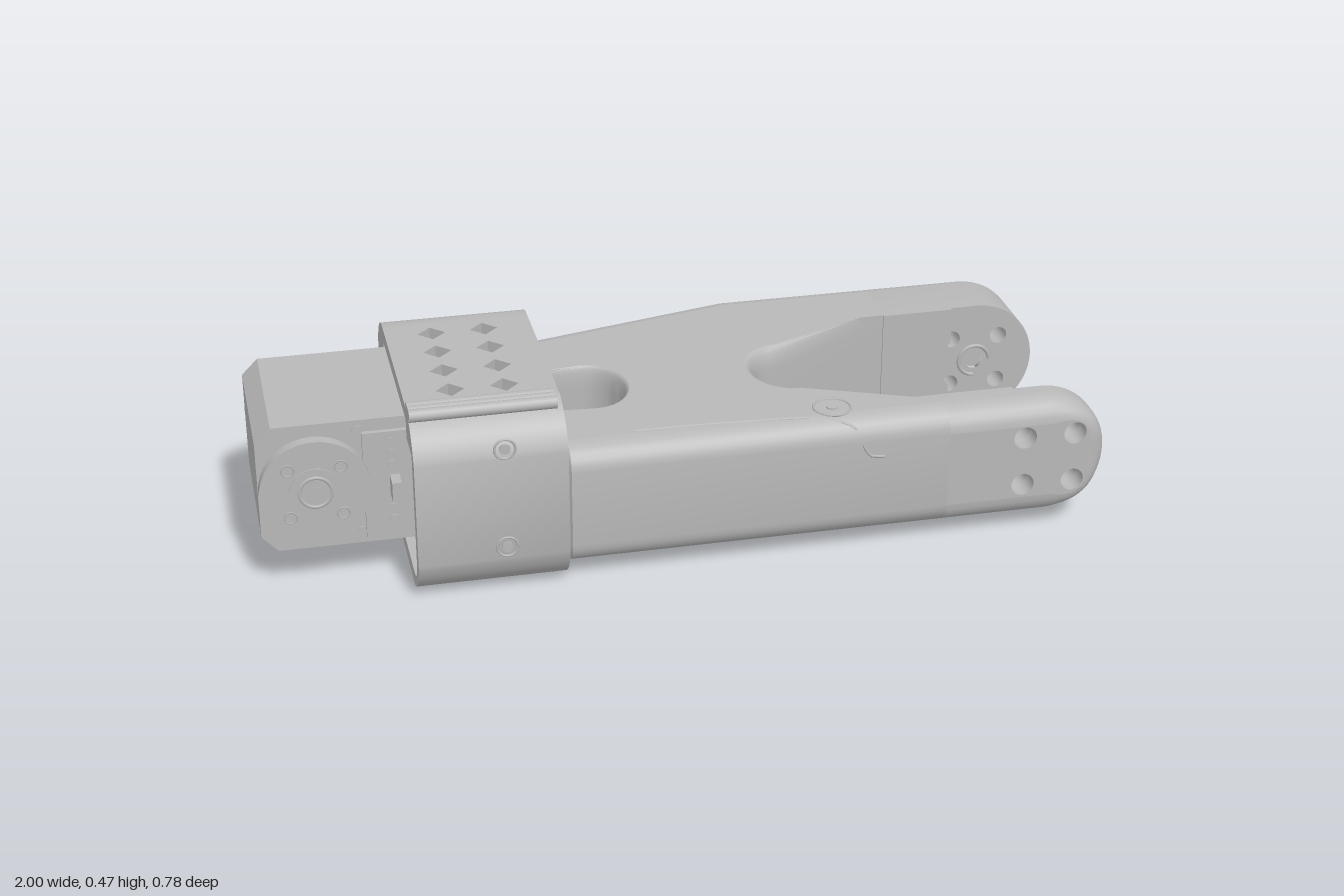
import * as THREE from 'three';
import { toCreasedNormals } from 'three/addons/utils/BufferGeometryUtils.js';

const grey = new THREE.MeshStandardMaterial({ color: 0xb8b8b8, side: THREE.DoubleSide });
grey.name = 'grey plastic';
const V2 = (x, y) => new THREE.Vector2(x, y);

function add(parent, name, geometry, x = 0, y = 0, z = 0) {
  const mesh = new THREE.Mesh(geometry, grey);
  mesh.name = name;
  mesh.position.set(x, y, z);
  parent.add(mesh);
  return mesh;
}

function group(parent, name) {
  const g = new THREE.Group();
  g.name = name;
  parent.add(g);
  return g;
}

// Skin between closed loops of [x, y, z] points
function loft(rows) {
  const n = rows[0].length, index = [];
  for (let r = 0; r < rows.length - 1; r++) {
    for (let i = 0; i < n; i++) {
      const a = r * n + i, b = r * n + (i + 1) % n;
      index.push(a, b, b + n, a, b + n, a + n);
    }
  }
  const g = new THREE.BufferGeometry();
  g.setAttribute('position', new THREE.Float32BufferAttribute(rows.flat(2), 3));
  g.setIndex(index);
  return toCreasedNormals(g, 0.6);
}

// Flat face with round holes [x, y, radius]
function face(points, holes = []) {
  const shape = new THREE.Shape(points);
  for (const [x, y, r] of holes) shape.holes.push(new THREE.Path().absarc(x, y, r, 0, Math.PI * 2));
  return new THREE.ShapeGeometry(shape, 12);
}

function cylinderZ(r, length, rTop = r) {
  return new THREE.CylinderGeometry(rTop, r, length, 40).rotateX(Math.PI / 2);
}

const MID = 0.193, HALF = 0.152, ROUND = 0.058, TIP = 0.848;
const STEPS = [0, 1, 2, 3, 4, 5, 6].map(i => i / 6 * Math.PI / 2);

// Middle of the fork: plan outline [x, z, edge rounding in x, in z], rounded over top and bottom
function buildBody(parent) {
  const g = group(parent, 'forkBody');
  const arc = (cx, cz, rx, rz, from, to, w) => Array.from({ length: 17 }, (_, i) => {
    const a = from + (to - from) * i / 16;
    return [cx + rx * Math.cos(a), cz + rz * Math.sin(a), w * Math.cos(a), w * Math.sin(a)];
  });
  const plan = [
    [-0.63, 0.345, 0, -1], [-0.31, 0.352, 0, -1], [-0.3, 0.367, 0, -1], [0.6, 0.367, 0, -1],
    [0.6, 0.27, 0, 0], [0.54, 0.27, 0, 0],
    ...arc(0.29, 0.042, 0.08, 0.1, Math.PI / 2, Math.PI * 1.5, 0.4),
    [0.54, -0.185, 0, 0], [0.6, -0.185, 0, 0],
    [0.6, -0.39, 0, 1], [0.22, -0.39, 0, 1], [-0.3, -0.266, 0, 1], [-0.31, -0.24, 0, 1], [-0.63, -0.236, 0, 1],
    [-0.63, -0.135, 0, 0], [-0.36, -0.135, 0, 0], [-0.36, -0.055, 0, 0],
    ...arc(-0.2, 0.05, 0.085, 0.105, -Math.PI / 2, Math.PI / 2, 0.2),
    [-0.36, 0.155, 0, 0], [-0.36, 0.255, 0, 0], [-0.63, 0.255, 0, 0],
  ];
  const level = (a, s) => {
    const inset = ROUND * (1 - Math.cos(a)), y = MID + s * (HALF - ROUND * (1 - Math.sin(a)));
    return plan.map(([x, z, u, v]) => [x + u * inset, y, z + v * inset]);
  };
  const rows = [...STEPS.slice().reverse().map(a => level(a, -1)), ...STEPS.map(a => level(a, 1))];
  add(g, 'bodySides', loft(rows));
  const top = rows[rows.length - 1];
  add(g, 'bodyTop', face(top.map(p => V2(p[0], -p[2]))).rotateX(-Math.PI / 2), 0, MID + HALF);
  add(g, 'bodyBottom', face(top.map(p => V2(p[0], p[2]))).rotateX(Math.PI / 2), 0, MID - HALF);
}

// Rounded fork end with four counterbored screw holes
function buildTip(parent, name, inner, outer) {
  const g = group(parent, name), s = Math.sign(outer);
  const loop = k => {
    const pts = [[0.6, MID - HALF + k]];
    for (let i = 0; i <= 32; i++) {
      const a = -Math.PI / 2 + Math.PI * i / 32;
      const r = HALF - k * (1 - 0.45 * Math.sin(2 * a) ** 2);
      pts.push([TIP + r * Math.cos(a), MID + r * Math.sin(a)]);
    }
    pts.push([0.6, MID + HALF - k]);
    return pts;
  };
  const at = (pts, z) => pts.map(([x, y]) => [x, y, z]);
  const rows = [at(loop(0), inner)];
  for (const a of STEPS) rows.push(at(loop(ROUND * (1 - Math.cos(a))), outer - s * ROUND * (1 - Math.sin(a))));
  if (s < 0) rows.reverse();
  add(g, 'tipSides', loft(rows));

  const centres = [-1, 1].flatMap(i => [-1, 1].map(j => [TIP + i * 0.062, MID + 0.002 + j * 0.062]));
  const toV = k => loop(k).map(p => V2(...p));
  add(g, 'tipOuterFace', face(toV(ROUND), centres.map(c => [...c, 0.028])), 0, 0, outer);
  add(g, 'tipInnerFace', face(toV(0), [...centres.map(c => [...c, 0.022]), [TIP, MID, 0.022]]), 0, 0, inner);
  const step = outer - s * 0.04;
  const bore = [V2(0.028, outer), V2(0.028, step), V2(0.022, step), V2(0.022, inner)];
  for (const [x, y] of centres) add(g, 'screwHole', new THREE.LatheGeometry(bore, 24).rotateX(Math.PI / 2), x, y);
  add(g, 'centreHole', cylinderZ(0.022, 0.03), TIP, MID, inner + s * 0.025);

  // Raised pad on the inner face, cut round for the hub
  const pad = new THREE.Shape([V2(0.6, MID - HALF), V2(0.78, MID - HALF), V2(0.78, MID - 0.06)]);
  pad.quadraticCurveTo(0.73, MID, 0.78, MID + 0.06);
  pad.lineTo(0.78, MID + HALF);
  pad.lineTo(0.6, MID + HALF);
  add(g, 'innerPad', new THREE.ExtrudeGeometry(pad, { depth: 0.009, bevelEnabled: false }), 0, 0, s > 0 ? inner - 0.009 : inner);
  add(g, 'hubRim', new THREE.TorusGeometry(0.04, 0.005, 6, 32, Math.PI * 1.5), TIP, MID, inner);
}

// Wraparound collar: two side channels, two plates with diamond holes, grip ridges
function buildCollar(parent) {
  const g = group(parent, 'collar'), x0 = -0.66, length = 0.35;
  const channel = (s, out, inn, lip, lipY, base) => {
    const p = new THREE.Shape(), r = out - s * 0.1;
    p.moveTo(-base, 0);
    p.lineTo(-r, 0);
    p.quadraticCurveTo(-out + s * 0.02, 0.02, -out, 0.1);
    p.lineTo(-out, 0.355);
    p.quadraticCurveTo(-out + s * 0.02, 0.433, -r, 0.453);
    p.lineTo(-lip, 0.453);
    p.lineTo(-lip, lipY);
    p.lineTo(-inn, lipY);
    p.lineTo(-inn, 0.1);
    p.quadraticCurveTo(-inn, 0.035, -inn + s * 0.065, 0.035);
    p.lineTo(-base, 0.035);
    const geo = new THREE.ExtrudeGeometry(p, { depth: length, bevelEnabled: false, curveSegments: 10 });
    return toCreasedNormals(geo.rotateY(Math.PI / 2), 0.5);
  };
  add(g, 'leftChannel', channel(1, 0.39, 0.356, 0.27, 0.37, 0.285), x0);
  add(g, 'rightChannel', channel(-1, -0.275, -0.242, -0.145, 0.35, -0.17), x0);

  const plate = (z0, z1) => {
    const p = new THREE.Shape([V2(x0, z0), V2(x0 + length, z0), V2(x0 + length, z1), V2(x0, z1)]);
    for (const x of [-0.55, -0.425]) for (const z of [-0.095, 0.007, 0.11, 0.213]) {
      p.holes.push(new THREE.Path([V2(x - 0.033, z), V2(x, z + 0.033), V2(x + 0.033, z), V2(x, z - 0.033)]));
    }
    return new THREE.ExtrudeGeometry(p, { depth: 0.035, bevelEnabled: false }).rotateX(Math.PI / 2);
  };
  add(g, 'topPlate', plate(-0.145, 0.27), 0, 0.453);
  add(g, 'bottomPlate', plate(-0.17, 0.285), 0, 0.035);

  for (const z of [0.293, 0.312, 0.331]) {
    add(g, 'gripRidge', new THREE.CylinderGeometry(0.015, 0.015, 0.335, 16).rotateZ(Math.PI / 2), -0.4925, 0.456, z);
  }
  for (const y of [0.13, 0.35]) for (const z of [0.39, -0.275]) {
    add(g, 'sideScrewRim', new THREE.TorusGeometry(0.024, 0.003, 6, 24), -0.455, y + (y > 0.3 ? 0.03 : 0), z);
    add(g, 'sideScrew', cylinderZ(0.013, 0.006), -0.455, y + (y > 0.3 ? 0.03 : 0), z);
  }
}

// Motor block with a horn disc on each side
function buildMotor(parent) {
  const g = group(parent, 'motor');
  const side = new THREE.Shape([V2(-0.425, 0.1), V2(-0.425, 0.415), V2(-0.962, 0.415), V2(-1, 0.377), V2(-1, 0.14), V2(-0.962, 0.1)]);
  add(g, 'motorCase', new THREE.ExtrudeGeometry(side, { depth: 0.37, bevelEnabled: false }), 0, 0, -0.125);
  add(g, 'motorFlange', new THREE.BoxGeometry(0.11, 0.27, 0.41), -0.705, 0.25, 0.052);
  add(g, 'cablePlug', new THREE.BoxGeometry(0.022, 0.05, 0.05), -0.69, 0.25, 0.276);
  for (const s of [-1, 1]) {
    const face = s > 0 ? 0.245 : -0.125, disc = s > 0 ? 0.263 : -0.167;
    const horn = group(g, s > 0 ? 'leftHorn' : 'rightHorn');
    add(horn, 'hornShaft', cylinderZ(0.06, 0.04), -0.872, 0.26, face + s * 0.015);
    add(horn, 'hornDisc', cylinderZ(0.127, 0.028), -0.872, 0.26, disc);
    add(horn, 'hornRing', new THREE.TorusGeometry(0.037, 0.006, 6, 32), -0.872, 0.26, disc + s * 0.014);
    if (s < 0) add(horn, 'hornScrew', new THREE.SphereGeometry(0.033, 24, 12), -0.872, 0.26, disc - 0.006);
    else add(horn, 'hornScrew', cylinderZ(0.015, 0.012), -0.872, 0.26, disc + 0.012);
    for (let i = 0; i < 4; i++) {
      const a = Math.PI / 4 + i * Math.PI / 2;
      add(horn, 'hornHoleRim', new THREE.TorusGeometry(0.014, 0.002, 5, 16), -0.872 + 0.085 * Math.cos(a), 0.26 + 0.085 * Math.sin(a), disc + s * 0.014);
    }
    for (const y of [0.16, 0.19, 0.22, 0.3, 0.33, 0.36]) {
      add(g, 'flangePin', cylinderZ(0.011, 0.006), -0.695, y, s > 0 ? 0.257 : -0.153);
    }
    for (const y of [0.13, 0.39]) add(g, 'caseScrew', cylinderZ(0.012, 0.006), -0.768, y, face);
  }
}

// Cable seam along the left side and the eyelet on top
function buildCableDetail(parent) {
  const g = group(parent, 'cableGuide');
  const path = new THREE.CatmullRomCurve3([
    [-0.14, 0.343, 0.295], [0.1, 0.344, 0.305], [0.3, 0.34, 0.325], [0.37, 0.322, 0.352], [0.39, 0.28, 0.365], [0.405, 0.255, 0.367], [0.44, 0.248, 0.367],
  ].map(p => new THREE.Vector3(...p)));
  add(g, 'cableSeam', new THREE.TubeGeometry(path, 40, 0.004, 6));
  add(g, 'eyelet', new THREE.TorusGeometry(0.044, 0.003, 6, 32).rotateX(Math.PI / 2), 0.335, MID + HALF, 0.28);
  add(g, 'eyeletPin', new THREE.CylinderGeometry(0.014, 0.014, 0.006, 20), 0.335, MID + HALF, 0.28);
}

export function createModel() {
  const model = new THREE.Group();
  model.name = 'forkedArmLink';
  buildBody(model);
  buildTip(model, 'leftForkTip', 0.278, 0.367);
  buildTip(model, 'rightForkTip', -0.19, -0.39);
  buildCollar(model);
  buildMotor(model);
  buildCableDetail(model);
  return model;
}
